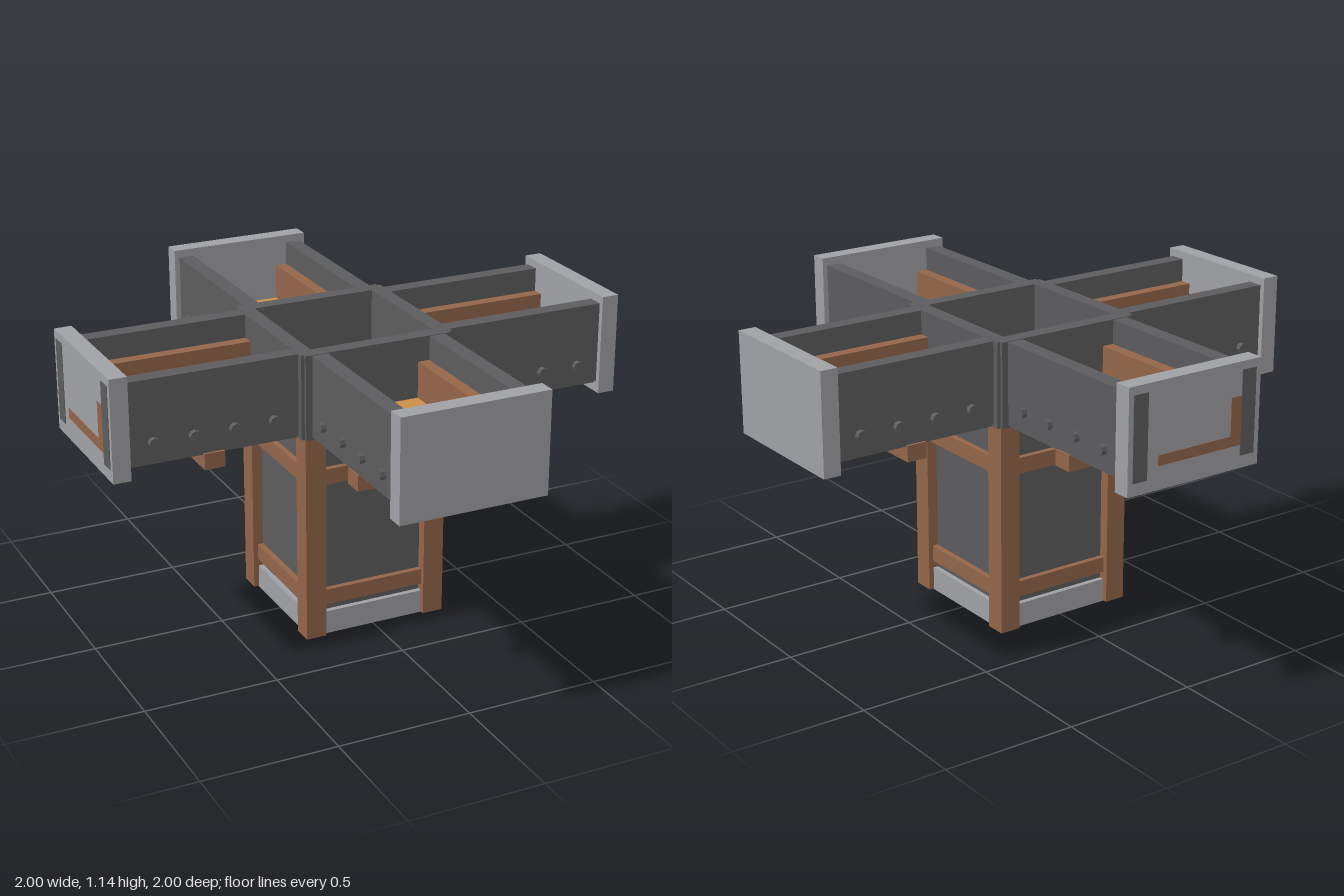
import * as THREE from 'three';

const mat = (name, color) => {
  const m = new THREE.MeshStandardMaterial({ color });
  m.name = name;
  return m;
};

export function createModel() {
  const iron = mat('dark iron', 0x5c5c5e);
  const steel = mat('light steel', 0xa0a1a5);
  const wood = mat('brown wood', 0x936549);
  const ochre = mat('ochre belt', 0xca8f45);

  // Box given by its minimum and maximum corners
  function box(parent, name, material, [x0, y0, z0], [x1, y1, z1]) {
    const mesh = new THREE.Mesh(new THREE.BoxGeometry(x1 - x0, y1 - y0, z1 - z0), material);
    mesh.position.set((x0 + x1) / 2, (y0 + y1) / 2, (z0 + z1) / 2);
    mesh.name = name;
    parent.add(mesh);
    return mesh;
  }
  // Same, with z given as a distance from the middle and mirrored to both sides
  function boxPair(parent, name, material, [x0, y0, z0], [x1, y1, z1]) {
    box(parent, name, material, [x0, y0, z0], [x1, y1, z1]);
    box(parent, name, material, [x0, y0, -z1], [x1, y1, -z0]);
  }

  const model = new THREE.Group();
  model.name = 'crossTrough';
  const boltGeometry = new THREE.CylinderGeometry(0.02, 0.02, 0.03, 8).toNonIndexed();
  boltGeometry.computeVertexNormals();

  for (let i = 0; i < 4; i++) {
    // Trough arm, modelled along +x and turned into place
    const arm = new THREE.Group();
    arm.name = 'arm';
    arm.rotation.y = i * Math.PI / 2;
    model.add(arm);
    boxPair(arm, 'armWall', iron, [0.285, 0.81, 0.2], [0.95, 1.115, 0.26]);
    box(arm, 'armUnderside', iron, [0.28, 0.8, -0.25], [0.95, 0.85, 0.25]);
    box(arm, 'armFloor', wood, [0.29, 0.85, -0.2], [0.95, 0.88, 0.2]);
    box(arm, 'armBelt', ochre, [0.29, 0.88, -0.158], [0.95, 0.888, 0.158]);
    boxPair(arm, 'armRail', wood, [0.295, 0.87, 0.155], [0.95, 1.025, 0.2]);
    box(arm, 'endCap', steel, [0.932, 0.765, -0.28], [0.998, 1.145, 0.28]);
    box(arm, 'crossBeam', wood, [0.578, 0.745, -0.26], [0.655, 0.805, 0.26]);
    for (const x of [0.392, 0.542, 0.692, 0.842]) {
      for (const side of [-1, 1]) {
        const bolt = new THREE.Mesh(boltGeometry, iron);
        bolt.name = 'bolt';
        bolt.rotation.x = Math.PI / 2;
        bolt.position.set(x, 0.885, side * 0.265);
        arm.add(bolt);
      }
    }
    // Flush wall and floor ends showing in the back and right-hand caps
    if (i === 1 || i === 2) {
      boxPair(arm, 'wallEnd', iron, [0.997, 0.81, 0.2], [1, 1.115, 0.26]);
      box(arm, 'floorEnd', wood, [0.997, 0.85, -0.155], [1, 0.888, 0.155]);
      box(arm, 'railEnd', wood, [0.997, 0.85, -0.2], [1, 1.025, -0.155]);
    }

    // Hub side and the trim around its floor
    box(arm, 'hubWall', iron, [0.24, 0.8, -0.285], [0.297, 1.117, 0.285]);
    box(arm, 'hubTrim', wood, [0.2, 0.85, -0.22], [0.22, 0.905, 0.22]);

    // Column side: corner post, two rails
    box(arm, 'cornerPost', wood, [0.2, 0.003, 0.2], [0.28, 0.805, 0.28]);
    for (const y of [0.12, 0.6]) {
      box(arm, 'columnRail', wood, [0.2, y, -0.21], [0.262, y + 0.06, 0.21]);
    }
  }

  // Hub floor and column core
  box(model, 'hubBase', iron, [-0.25, 0.802, -0.25], [0.25, 0.87, 0.25]);
  box(model, 'hubBelt', ochre, [-0.205, 0.86, -0.205], [0.205, 0.89, 0.205]);
  box(model, 'columnPanels', iron, [-0.24, 0.08, -0.24], [0.24, 0.81, 0.24]);
  box(model, 'columnBase', steel, [-0.26, 0, -0.26], [0.26, 0.09, 0.26]);

  return model;
}
